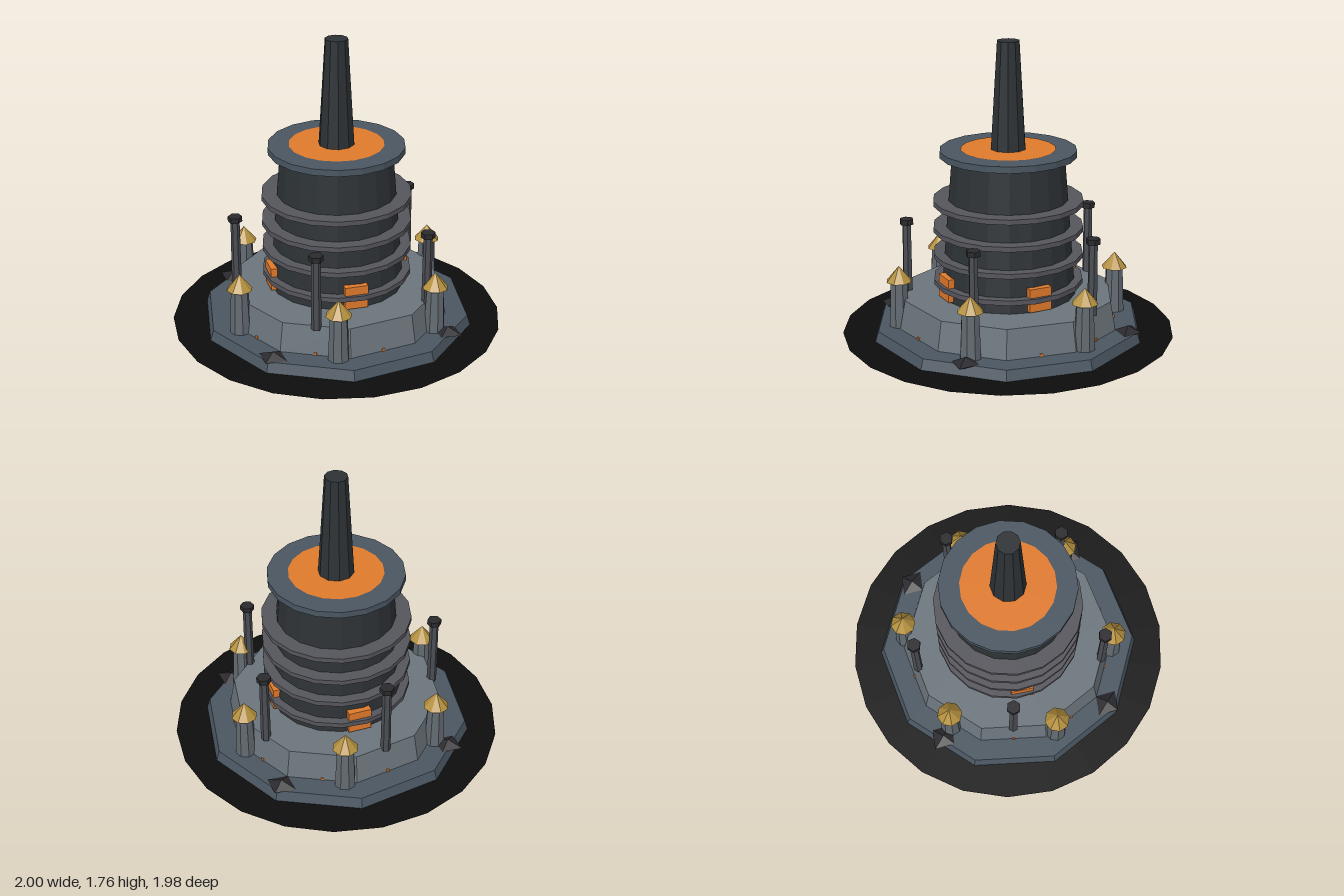
import * as THREE from 'three';

const mat = (color, extra = {}) => new THREE.MeshStandardMaterial({ color, flatShading: true, ...extra });

export function createModel() {
  const group = new THREE.Group();
  const black = mat(0x0d0d0d, { side: THREE.DoubleSide });
  const slate = mat(0x4a5661);
  const stone = mat(0x6b757c);
  const iron = mat(0x2d3235);
  const band = mat(0x55555c);
  const tower = mat(0x626a71);
  const steel = mat(0x4a4d53);
  const dark = mat(0x2a2a2e);
  const gold = mat(0xb38f3e);
  const glow = mat(0xe07a2c);

  const add = (name, geometry, material, x = 0, y = 0, z = 0, parent = group) => {
    const mesh = new THREE.Mesh(geometry, material);
    mesh.name = name;
    mesh.position.set(x, y, z);
    parent.add(mesh);
    return mesh;
  };
  // Tapered prism standing between two heights
  const prism = (name, rTop, rBottom, y0, y1, sides, material, x = 0, z = 0, parent = group) =>
    add(name, new THREE.CylinderGeometry(rTop, rBottom, y1 - y0, sides), material, x, (y0 + y1) / 2, z, parent);
  // Calls fn(x, z, angle) at even steps round a circle, starting on +x
  const around = (count, radius, fn, start = 0) => {
    for (let i = 0; i < count; i++) {
      const a = start + (i / count) * Math.PI * 2;
      fn(radius * Math.cos(a), radius * Math.sin(a), a);
    }
  };

  // Scorched ground and stepped ten-sided plinth
  add('ground', new THREE.CircleGeometry(1, 22).rotateX(-Math.PI / 2), black, 0, 0.0015, 0);
  prism('lowerPlinth', 0.805, 0.825, 0.003, 0.065, 10, slate);
  prism('upperPlinth', 0.64, 0.672, 0.065, 0.24, 10, stone);

  // Furnace body with bands, rim and molten top
  const body = [[0, 0], [0.445, 0], [0.407, 0.24], [0.336, 1.09], [0, 1.09]].map(p => new THREE.Vector2(...p));
  add('furnaceBody', new THREE.LatheGeometry(body, 18), iron).rotation.y = Math.PI / 2;
  for (let i = 0; i < 4; i++) {
    const y = 0.322 + i * 0.162;
    prism('furnaceBand', 0.449, 0.449, y - 0.015, y + 0.015, 18, band).rotation.y = Math.PI / 2;
  }
  prism('furnaceRim', 0.407, 0.407, 1.083, 1.122, 18, slate).rotation.y = Math.PI / 2;
  add('moltenTop', new THREE.CircleGeometry(0.283, 18).rotateX(-Math.PI / 2), glow, 0, 1.125, 0);
  prism('chimney', 0.068, 0.108, 1.1, 1.765, 10, iron);

  // Glowing openings on the diagonals
  around(4, 0.405, (x, z, a) => {
    add('furnaceOpening', new THREE.BoxGeometry(0.04, 0.14, 0.14), glow, x, 0.32, z).rotation.y = -a;
  }, Math.PI / 4);

  // Watch towers with pointed roofs
  around(6, 0.662, (x, z) => {
    const t = new THREE.Group();
    t.name = 'watchTower';
    t.position.set(x, 0, z);
    group.add(t);
    prism('towerShaft', 0.052, 0.064, 0.06, 0.35, 8, tower, 0, 0, t);
    add('towerRoof', new THREE.ConeGeometry(0.078, 0.095, 8), gold, 0, 0.39, 0, t);
  });

  // Thin vent pipes with caps
  around(5, 0.607, (x, z) => {
    prism('ventPipe', 0.027, 0.03, 0.22, 0.66, 6, steel, x, z);
    prism('ventCap', 0.043, 0.043, 0.655, 0.687, 6, dark, x, z);
  });

  // Dark flattened crystals on the lower step
  around(4, 0.75, (x, z) => {
    add('crystal', new THREE.OctahedronGeometry(0.095), dark, x, 0.068, z).scale.set(1, 0.38, 0.86);
  });

  // Small embers at the foot of each plinth face
  around(10, 0.637, (x, z, a) => {
    add('ember', new THREE.BoxGeometry(0.016, 0.016, 0.016), glow, x, 0.073, z).rotation.y = -a;
  });

  return group;
}
